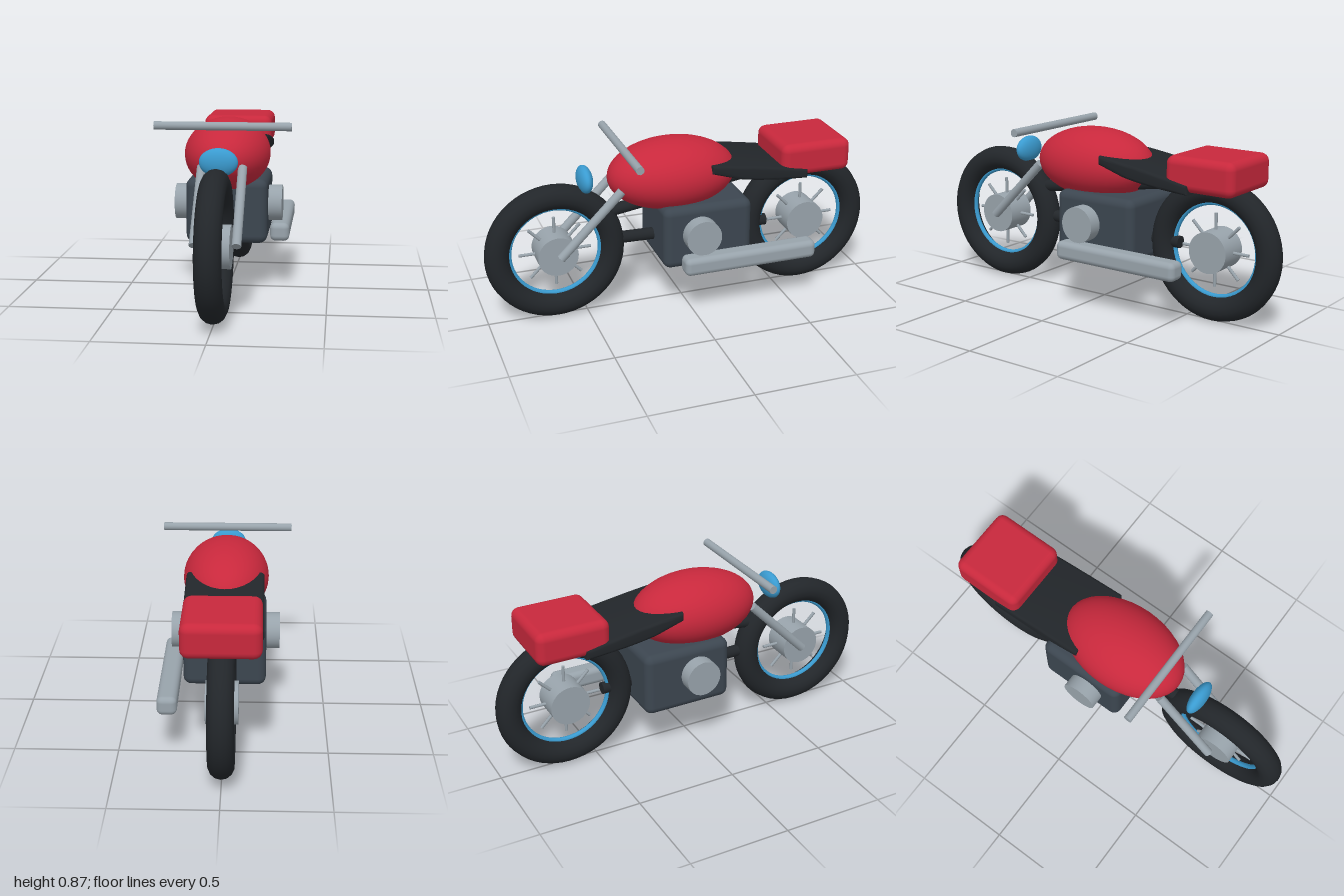
import * as THREE from 'three';
import { toCreasedNormals } from 'three/addons/utils/BufferGeometryUtils.js';
import { RoundedBoxGeometry } from 'three/addons/geometries/RoundedBoxGeometry.js';

const mat = (color) => new THREE.MeshStandardMaterial({ color });

export function createModel() {
  const model = new THREE.Group();
  model.name = 'motorcycle';
  const red = mat(0xc8283c), blue = mat(0x3a9bd0), black = mat(0x22262a);
  const slate = mat(0x3c4650), metal = mat(0x98a3ab);

  const add = (name, geometry, material, [x, y, z] = [0, 0, 0], parent = model) => {
    const mesh = new THREE.Mesh(geometry, material);
    mesh.name = name;
    mesh.position.set(x, y, z);
    parent.add(mesh);
    return mesh;
  };

  // Straight round bar between two points
  const bar = (name, from, to, radius, material, sides = 16, parent = model) => {
    const a = new THREE.Vector3(...from), b = new THREE.Vector3(...to);
    const dir = b.clone().sub(a);
    const mid = a.clone().add(b).multiplyScalar(0.5).toArray();
    const mesh = add(name, new THREE.CylinderGeometry(radius, radius, dir.length(), sides), material, mid, parent);
    mesh.quaternion.setFromUnitVectors(new THREE.Vector3(0, 1, 0), dir.normalize());
    return mesh;
  };

  const ellipsoid = (name, material, position, [rx, ry, rz]) =>
    add(name, new THREE.SphereGeometry(1, 40, 24).scale(rx, ry, rz), material, position);

  const roundedBox = (name, material, position, size, radius) =>
    add(name, new RoundedBoxGeometry(...size, 3, radius), material, position);

  // Wheels: tyre, rim, hub and eight spokes
  for (const [name, z] of [['frontWheel', 0.65], ['rearWheel', -0.65]]) {
    const wheel = new THREE.Group();
    wheel.name = name;
    wheel.position.set(0, 0.35, z);
    add('tyre', new THREE.TorusGeometry(0.287, 0.061, 14, 56).rotateY(Math.PI / 2), black, [0, 0, 0], wheel);
    add('rim', new THREE.TorusGeometry(0.228, 0.013, 10, 56).rotateY(Math.PI / 2), blue, [0, 0, 0], wheel);
    bar('hub', [-0.075, 0, 0], [0.075, 0, 0], 0.1, metal, 32, wheel);
    for (let i = 0; i < 8; i++) {
      const a = i * Math.PI / 4;
      bar('spoke', [0, 0, 0], [0, 0.18 * Math.sin(a), 0.18 * Math.cos(a)], 0.008, metal, 8, wheel);
    }
    model.add(wheel);
  }

  // Frame tubes
  bar('upperFrame', [0, 0.52, 0.39], [0, 0.65, -0.46], 0.03, black);
  bar('lowerFrame', [0, 0.373, 0.39], [0, 0.355, -0.455], 0.03, black);

  // Engine with a cylinder sticking out on both sides, exhaust on the left
  roundedBox('engine', slate, [0, 0.41, -0.077], [0.4, 0.32, 0.455], 0.04);
  bar('engineCylinder', [-0.267, 0.428, -0.03], [0.267, 0.428, -0.03], 0.089, metal, 32);
  roundedBox('exhaust', metal, [0.258, 0.295, -0.267], [0.095, 0.092, 0.685], 0.028);

  // Tank and headlight
  ellipsoid('fuelTank', red, [0, 0.688, 0.05], [0.21, 0.176, 0.325]);
  ellipsoid('headlight', blue, [0, 0.706, 0.49], [0.09, 0.066, 0.037]);

  // Fork and handlebar
  for (const side of [-1, 1]) {
    bar('fork', [side * 0.097, 0.35, 0.643], [side * 0.097, 0.66, 0.332], 0.022, metal);
  }
  bar('handlebar', [-0.325, 0.85, 0.308], [0.325, 0.85, 0.308], 0.02, metal);

  // Seat: bent side profile (z, y) swept across the width
  const bevel = 0.014;
  const profile = new THREE.Shape();
  profile.moveTo(-0.11, 0.747);
  profile.quadraticCurveTo(-0.37, 0.715, -0.588, 0.671);
  profile.lineTo(-0.588, 0.65);
  profile.quadraticCurveTo(-0.36, 0.663, -0.24, 0.69);
  profile.lineTo(-0.11, 0.731);
  const seat = new THREE.ExtrudeGeometry(profile, {
    depth: 0.376 - 2 * bevel, bevelEnabled: true, bevelThickness: bevel, bevelSize: bevel, bevelSegments: 3, curveSegments: 10,
  });
  seat.translate(0, 0, -(0.376 / 2 - bevel)).rotateY(-Math.PI / 2);
  add('seat', toCreasedNormals(seat, 0.7), black);

  // Luggage box behind the seat
  roundedBox('tailBox', red, [0, 0.728, -0.653], [0.36, 0.166, 0.365], 0.04);

  return model;
}
